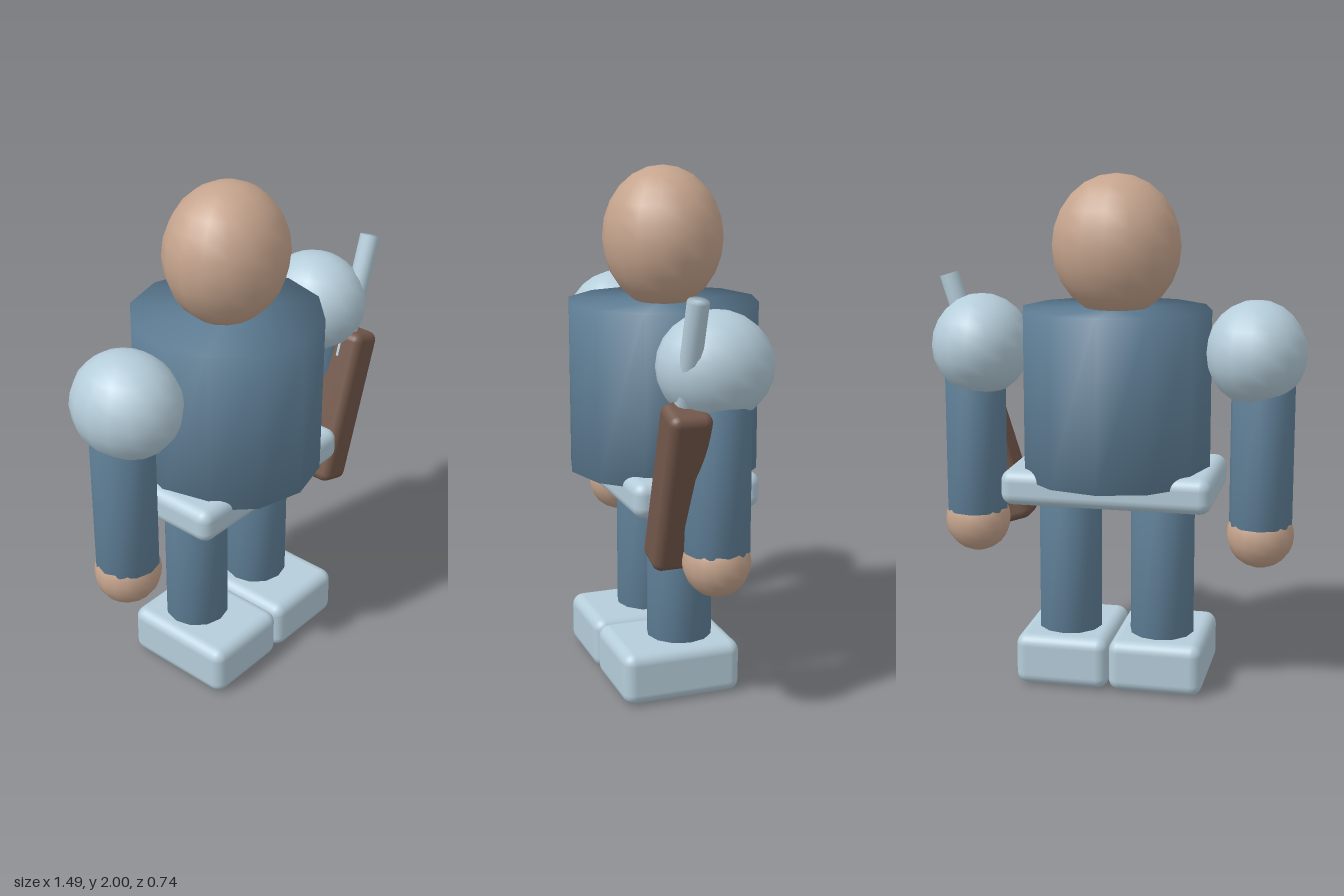
import * as THREE from 'three';
import { mergeVertices } from 'three/addons/utils/BufferGeometryUtils.js';
import { RoundedBoxGeometry } from 'three/addons/geometries/RoundedBoxGeometry.js';

const material = (name, color) => {
  const m = new THREE.MeshStandardMaterial({ color });
  m.name = name;
  return m;
};

// Weld all corners so shading runs smoothly over the whole shape
function weld(geometry) {
  geometry.deleteAttribute('normal');
  geometry.deleteAttribute('uv');
  const g = mergeVertices(geometry, 1e-4);
  g.computeVertexNormals();
  return g;
}

const tube = (r, h) => weld(new THREE.CylinderGeometry(r, r, h, 12));
const ball = (rx, ry, rz) => new THREE.SphereGeometry(1, 16, 12).scale(rx, ry, rz);
const block = (w, h, d, r) => new RoundedBoxGeometry(w, h, d, 3, r);

export function createModel() {
  const model = new THREE.Group();
  model.name = 'figure';

  const cloth = material('blue cloth', 0x5f7f97);
  const armor = material('pale armor', 0xb5cdda);
  const skin = material('skin', 0xc5a48d);
  const wood = material('brown wood', 0x72574a);

  const add = (name, geometry, mat, x, y, z = 0, tilt = 0) => {
    const mesh = new THREE.Mesh(geometry, mat);
    mesh.name = name;
    mesh.position.set(x, y, z);
    mesh.rotation.z = tilt;
    model.add(mesh);
  };

  // Body: the carried weapon shifts the figure slightly off centre
  const cx = -0.012;
  add('torso', tube(0.37, 0.65), cloth, cx, 1.167);
  add('head', ball(0.25, 0.27, 0.228), skin, cx, 1.73);
  add('belt', block(0.815, 0.138, 0.5, 0.045), armor, cx, 0.817);

  // Mirrored limbs
  for (const [side, s] of [['left', 1], ['right', -1]]) {
    add(side + 'Shoulder', ball(0.193, 0.2, 0.214), armor, cx + s * 0.541, 1.335);
    add(side + 'Arm', tube(0.122, 0.55), cloth, cx + s * 0.57, 0.942);
    add(side + 'Hand', ball(0.131, 0.131, 0.125), skin, cx + s * 0.57, 0.626);
    add(side + 'Leg', tube(0.127, 0.6), cloth, cx + s * 0.186, 0.48);
    add(side + 'Foot', block(0.37, 0.207, 0.47, 0.045), armor, cx + s * 0.186, 0.1035, 0.045);
  }

  // Weapon held against the left arm
  const tilt = -0.305;
  add('weaponStock', block(0.15, 0.645, 0.16, 0.035), wood, 0.524, 0.905, 0.137, tilt);
  add('weaponBarrel', tube(0.039, 0.5), armor, 0.627, 1.357, 0.132, tilt);

  return model;
}
